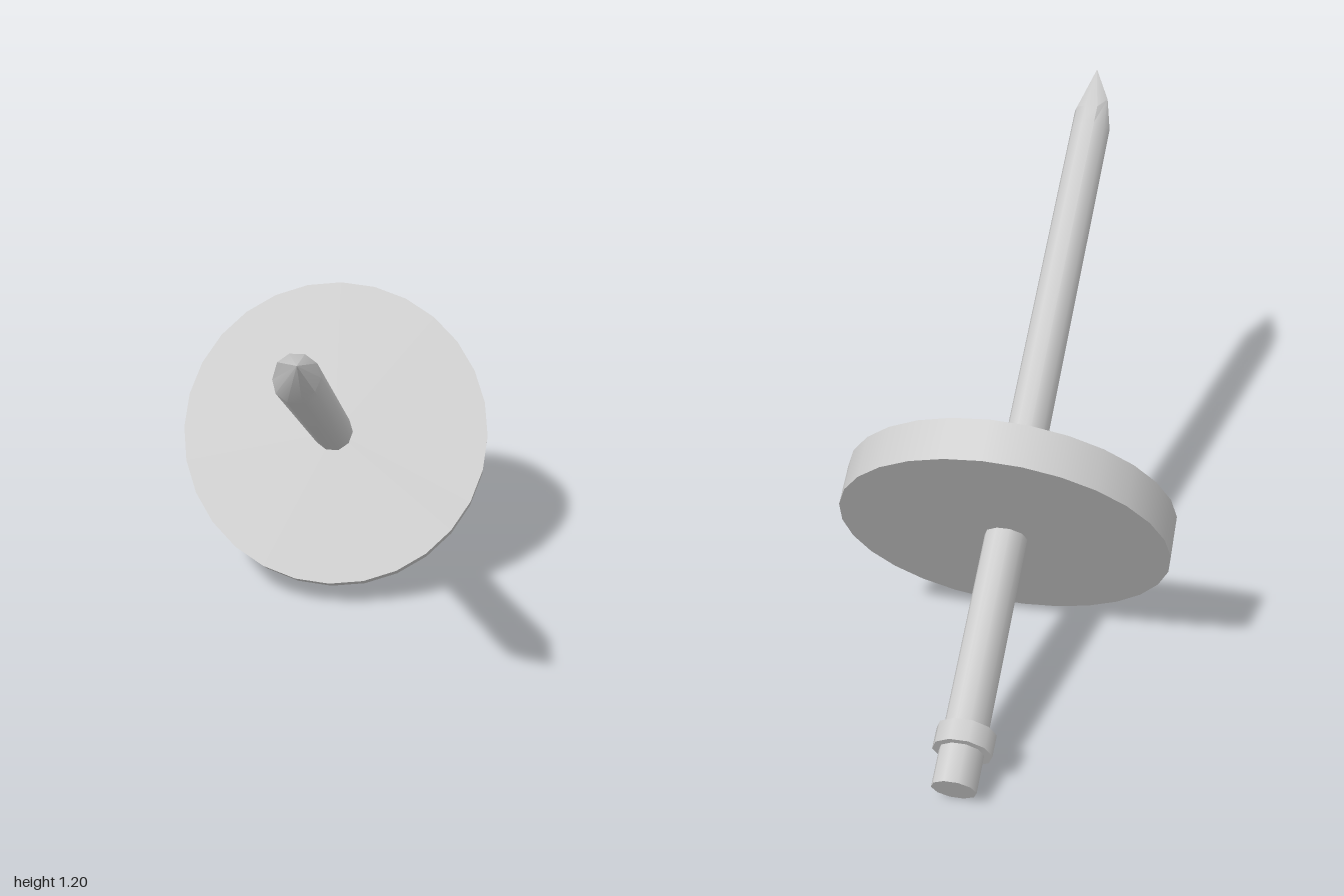
import * as THREE from 'three';
import { toCreasedNormals } from 'three/addons/utils/BufferGeometryUtils.js';

const SIDES = 10;
const SHAFT_R = 0.057;

// Shaft along +z: flat butt at z = 0, unevenly carved point at the far end
function shaftGeometry() {
  // where the carving starts at each side [z, radius factor], from +x towards +y
  const rim = [[2.12, 1], [2.11, 1], [2.1, 1], [2.1, 1], [2.15, 0.84],
    [2.06, 1], [2.08, 1], [2.1, 1], [2.135, 1], [2.14, 1]];
  const tip = [0.016, 0.005, 2.282];
  const pos = [];
  const point = (k, z, f) => {
    const a = (k / SIDES) * Math.PI * 2;
    return [Math.cos(a) * SHAFT_R * f, Math.sin(a) * SHAFT_R * f, z];
  };
  const tri = (a, b, c) => pos.push(...a, ...b, ...c);
  for (let k = 0; k < SIDES; k++) {
    const n = (k + 1) % SIDES;
    const a = point(k, 0, 1), b = point(n, 0, 1);
    const am = point(k, 2.04, 1), bm = point(n, 2.04, 1);
    const at = point(k, ...rim[k]), bt = point(n, ...rim[n]);
    tri([0, 0, 0], b, a);           // butt
    tri(a, b, bm); tri(a, bm, am);  // straight side
    tri(am, bm, bt); tri(am, bt, at);
    tri(at, bt, tip);               // carved point
  }
  const g = new THREE.BufferGeometry();
  g.setAttribute('position', new THREE.Float32BufferAttribute(pos, 3));
  return toCreasedNormals(g, 0.66);
}

export function createModel() {
  const spindle = new THREE.Group();
  spindle.name = 'dropSpindle';
  const material = new THREE.MeshStandardMaterial({ color: 0xcccccc });

  const add = (name, geometry, x, y, z, tilt = 0) => {
    const mesh = new THREE.Mesh(geometry, material);
    mesh.name = name;
    mesh.position.set(x, y, z);
    mesh.rotation.x = THREE.MathUtils.degToRad(tilt);
    spindle.add(mesh);
  };
  // Cylinder lying along z, with a corner on +x
  const roller = (r, length, sides) =>
    new THREE.CylinderGeometry(r, r, length, sides, 1, false, Math.PI / 2).rotateX(Math.PI / 2);

  add('shaft', shaftGeometry(), 0, 0, 0);
  add('whorl', roller(0.438, 0.114, 28), 0.006, -0.003, 0.749, -2.4);
  add('collar', roller(0.076, 0.056, SIDES), -0.002, 0, 0.124, 3);

  // Lean the whole spindle with its point up and forward
  spindle.rotation.x = THREE.MathUtils.degToRad(-30.1);
  spindle.position.set(-0.008, 0.049, -0.973);

  const model = new THREE.Group();
  model.name = 'leaningSpindle';
  model.add(spindle);
  return model;
}
